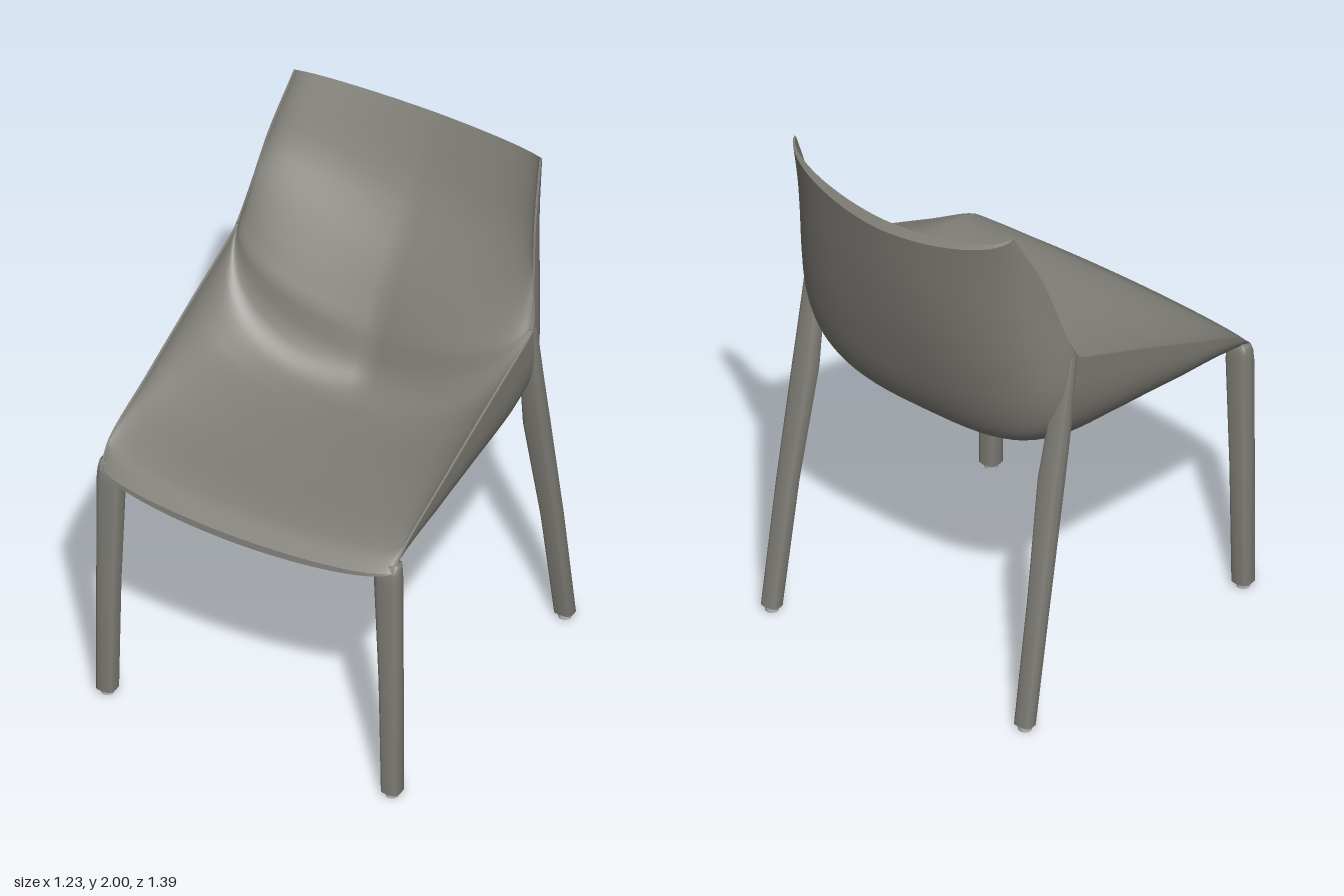
import * as THREE from 'three';

// Shell stations from the front lip, along the seat, up to the top of the back.
// outer and inner: centre-line [y, z]; edge: rim [x, y, z]; po and pi: squareness (smaller is boxier);
// pad: how far the side bolsters of the cushion stand forward
const STATIONS = [
  { outer: [0.945, 0.695], inner: [0.97, 0.692], edge: [0.592, 1.0, 0.615], po: 1.05, pi: 1.05, pad: 0 },
  { outer: [0.93, 0.61], inner: [1.025, 0.6], edge: [0.6, 1.07, 0.545], po: 0.75, pi: 1.0, pad: 0 },
  { outer: [0.927, 0.3], inner: [1.035, 0.3], edge: [0.6, 1.175, 0.3], po: 0.64, pi: 0.95, pad: 0 },
  { outer: [0.927, 0.0], inner: [1.035, 0.02], edge: [0.6, 1.3, 0.0], po: 0.62, pi: 0.95, pad: 0 },
  { outer: [0.94, -0.25], inner: [1.045, -0.11], edge: [0.6, 1.395, -0.24], po: 0.62, pi: 0.98, pad: 0.02 },
  { outer: [1.0, -0.42], inner: [1.1, -0.2], edge: [0.6, 1.43, -0.315], po: 0.66, pi: 1.05, pad: 0.045 },
  { outer: [1.1, -0.49], inner: [1.24, -0.265], edge: [0.596, 1.465, -0.34], po: 0.72, pi: 1.05, pad: 0.055 },
  { outer: [1.35, -0.575], inner: [1.42, -0.365], edge: [0.573, 1.59, -0.38], po: 0.82, pi: 1.0, pad: 0.03 },
  { outer: [1.62, -0.64], inner: [1.66, -0.54], edge: [0.54, 1.79, -0.445], po: 0.95, pi: 1.0, pad: 0.01 },
  { outer: [1.9, -0.692], inner: [1.93, -0.67], edge: [0.5, 2.0, -0.55], po: 1.15, pi: 1.15, pad: 0 },
];
const ROWS = 45;
const COLS = 40;

const curveOf = (pick) => new THREE.CatmullRomCurve3(
  STATIONS.map((s) => new THREE.Vector3(...pick(s))), false, 'centripetal');
const outerLine = curveOf((s) => [0, ...s.outer]);
const innerLine = curveOf((s) => [0, ...s.inner]);
const edgeLine = curveOf((s) => s.edge);

function valueAt(t, key) {
  const k = t * (STATIONS.length - 1);
  const i = Math.min(Math.floor(k), STATIONS.length - 2);
  return THREE.MathUtils.lerp(STATIONS[i][key], STATIONS[i + 1][key], k - i);
}

// Point on a shell face: t runs front to top, u runs -1 to 1 across
function shellPoint(t, u, inside) {
  const centre = (inside ? innerLine : outerLine).getPoint(t);
  const edge = edgeLine.getPoint(t);
  if (inside) edge.x -= 0.008;
  const p = valueAt(t, inside ? 'pi' : 'po');
  const a = Math.abs(u) * Math.PI / 2;
  const rise = 1 - Math.pow(Math.max(Math.cos(a), 0), p);
  const pad = inside ? valueAt(t, 'pad') * Math.sin(2 * a) : 0;
  return new THREE.Vector3(
    Math.sign(u) * edge.x * Math.pow(Math.sin(a), p),
    THREE.MathUtils.lerp(centre.y, edge.y, rise) + pad * 0.5,
    THREE.MathUtils.lerp(centre.z, edge.z, rise) + pad);
}

// Smooth surface over a grid of points
function gridGeometry(rows, cols, at, flip = false) {
  const positions = [];
  const index = [];
  for (let i = 0; i <= rows; i++) {
    for (let j = 0; j <= cols; j++) positions.push(...at(i / rows, j / cols).toArray());
  }
  for (let i = 0; i < rows; i++) {
    for (let j = 0; j < cols; j++) {
      const a = i * (cols + 1) + j, b = a + 1, c = a + cols + 1, d = c + 1;
      if (flip) index.push(a, c, b, b, c, d);
      else index.push(a, b, c, b, d, c);
    }
  }
  const geometry = new THREE.BufferGeometry();
  geometry.setAttribute('position', new THREE.Float32BufferAttribute(positions, 3));
  geometry.setIndex(index);
  geometry.computeVertexNormals();
  return geometry;
}

// Leg lofted through [x, y, z, halfWidth, halfDepth] rings with rounded square sections
function legGeometry(rings, side) {
  const steps = rings.length + 1;
  return gridGeometry(steps, 16, (v, u) => {
    const k = Math.round(v * steps) - 1;
    const [x, y, z, w, d] = rings[THREE.MathUtils.clamp(k, 0, rings.length - 1)];
    const spread = k < 0 || k >= rings.length ? 0 : 1;
    const a = u * Math.PI * 2;
    const round = (n) => Math.sign(n) * Math.pow(Math.abs(n), 0.6);
    return new THREE.Vector3(side * (x + spread * w * round(Math.cos(a))), y,
      z + spread * d * round(Math.sin(a)));
  }, side > 0);
}

export function createModel() {
  const chair = new THREE.Group();
  chair.name = 'chair';
  const grey = new THREE.MeshStandardMaterial({ color: 0x807e77, side: THREE.DoubleSide });
  grey.name = 'warm grey';
  const pale = new THREE.MeshStandardMaterial({ color: 0xc8c8c4 });
  pale.name = 'pale grey';

  const add = (name, geometry, material = grey) => {
    const mesh = new THREE.Mesh(geometry, material);
    mesh.name = name;
    chair.add(mesh);
    return mesh;
  };

  // Seat and back in one shell
  add('outerShell', gridGeometry(ROWS, COLS, (t, u) => shellPoint(t, u * 2 - 1, false), true));
  add('upholstery', gridGeometry(ROWS, COLS, (t, u) => shellPoint(t, u * 2 - 1, true)));

  // Strips closing the shell along its rim
  const between = (t, u, k) => shellPoint(t, u, false).lerp(shellPoint(t, u, true), k);
  add('frontLip', gridGeometry(1, COLS, (k, u) => between(0, u * 2 - 1, k)));
  add('topRim', gridGeometry(1, COLS, (k, u) => between(1, u * 2 - 1, k), true));

  const frontLeg = [
    [0.575, 0.022, 0.595, 0.036, 0.036],
    [0.57, 0.5, 0.595, 0.041, 0.036],
    [0.56, 0.94, 0.595, 0.05, 0.036],
    [0.562, 0.985, 0.593, 0.046, 0.033],
    [0.576, 1.015, 0.588, 0.028, 0.024],
  ];
  const backLeg = [
    [0.577, 0.022, -0.58, 0.036, 0.03],
    [0.573, 0.5, -0.5, 0.039, 0.032],
    [0.56, 0.95, -0.418, 0.047, 0.036],
    [0.565, 1.2, -0.373, 0.04, 0.031],
    [0.584, 1.44, -0.338, 0.018, 0.018],
  ];

  for (const side of [-1, 1]) {
    const label = side > 0 ? 'left' : 'right';
    add(`${label}SideRim`, gridGeometry(ROWS, 1, (t, k) => between(t, side, k), side < 0));
    for (const [name, rings] of [['FrontLeg', frontLeg], ['BackLeg', backLeg]]) {
      add(label + name, legGeometry(rings, side));
      // Small glide under each foot
      const glide = add(`${label}${name}Glide`, new THREE.CylinderGeometry(0.028, 0.024, 0.022, 12), pale);
      glide.position.set(side * rings[0][0], 0.011, rings[0][2]);
    }
  }
  return chair;
}
